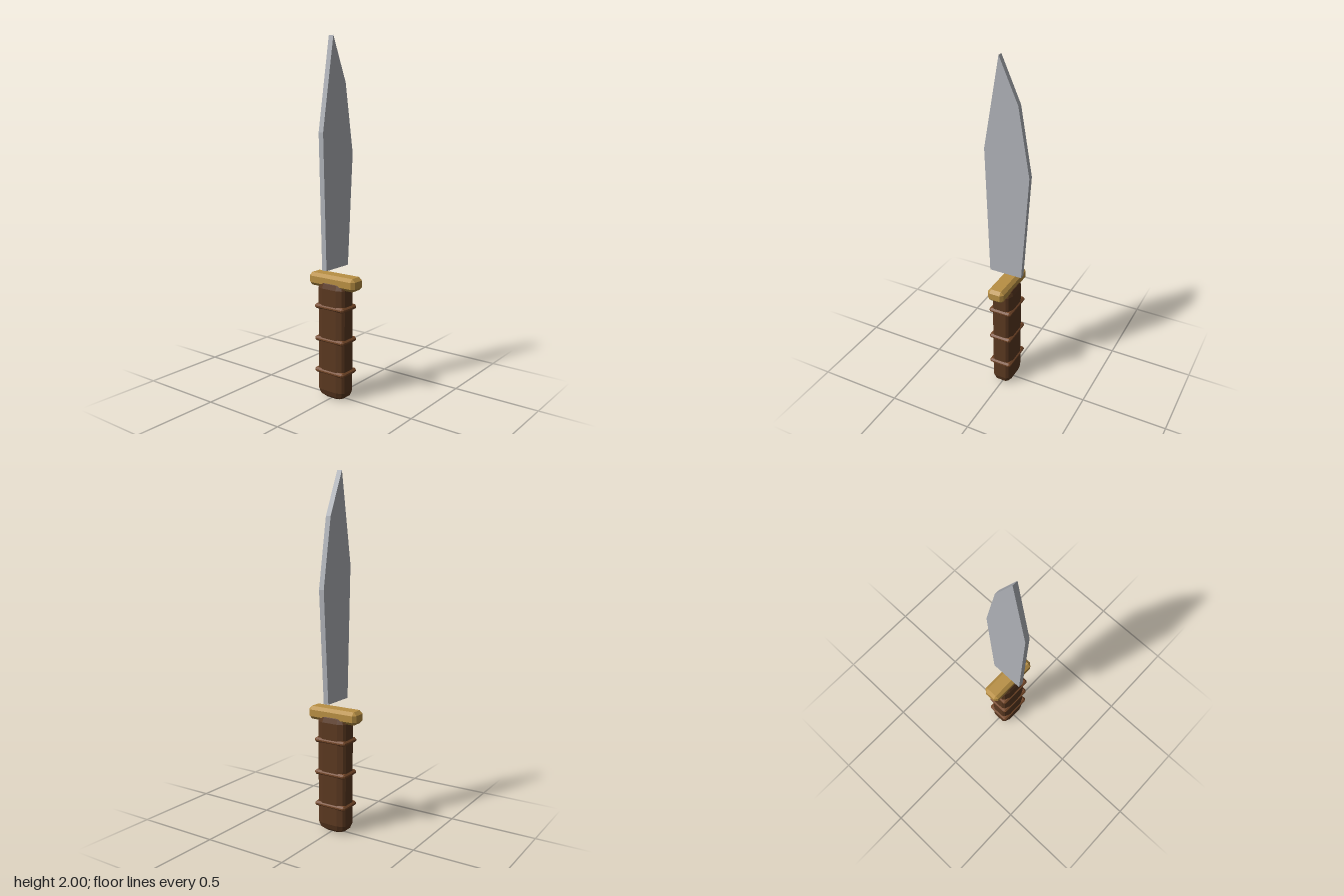
import * as THREE from 'three';

const flat = (name, color) => {
  const m = new THREE.MeshStandardMaterial({ color, flatShading: true });
  m.name = name;
  return m;
};

// One plan outline: rectangle whose corners are cut through the listed [inset x, inset z] points.
function plan(hx, hz, cuts) {
  const quarter = cuts.map(([ix, iz]) => [hx - ix, hz - iz]);
  const back = [...quarter].reverse();
  return [
    ...quarter,
    ...back.map(([x, z]) => [-x, z]),
    ...quarter.map(([x, z]) => [-x, -z]),
    ...back.map(([x, z]) => [x, -z]),
  ];
}

// Closed solid through stacked outlines: sections = [[y, outline], ...].
function loft(sections) {
  const n = sections[0][1].length, pos = [], index = [];
  sections.forEach(([y, pts]) => pts.forEach(([x, z]) => pos.push(x, y, z)));
  for (let s = 0; s < sections.length - 1; s++) {
    for (let i = 0; i < n; i++) {
      const a = s * n + i, b = s * n + (i + 1) % n;
      index.push(a, a + n, b, b, a + n, b + n);
    }
  }
  const top = (sections.length - 1) * n;
  for (let i = 1; i < n - 1; i++) {
    index.push(0, i, i + 1, top, top + i + 1, top + i);
  }
  const g = new THREE.BufferGeometry();
  g.setAttribute('position', new THREE.Float32BufferAttribute(pos, 3));
  g.setIndex(index);
  const out = g.toNonIndexed();
  out.computeVertexNormals();
  return out;
}

// Box with every edge chamfered by c.
function chamferBox(hx, hz, y0, y1, c) {
  const full = plan(hx, hz, [[0, c], [c, 0]]);
  const end = plan(hx - c, hz - c, [[0, c * 0.1], [c * 0.1, 0]]);
  return loft([[y0, end], [y0 + c, full], [y1 - c, full], [y1, end]]);
}

export function createModel() {
  const group = new THREE.Group();
  const steel = flat('steel', 0xb0b3b9);
  const brass = flat('brass', 0xb88f43);
  const leather = flat('leather', 0x5a3820);
  const binding = flat('binding', 0x744728);
  const add = (name, geometry, material, z = 0.005) => {
    const mesh = new THREE.Mesh(geometry, material);
    mesh.name = name;
    mesh.position.z = z;
    group.add(mesh);
  };

  // Blade: flat plate, outline drawn in z and y
  const outline = [[-0.09, 0.755], [0.105, 0.755], [0.131, 1.5], [0.043, 2], [-0.065, 1.76], [-0.131, 1.38]];
  const blade = new THREE.ExtrudeGeometry(
    new THREE.Shape(outline.map(([z, y]) => new THREE.Vector2(z, y))),
    { depth: 0.03, bevelEnabled: false });
  blade.translate(0, 0, -0.015).rotateY(-Math.PI / 2);
  add('blade', blade, steel, 0);

  // Cross guard
  add('guard', chamferBox(0.156, 0.05, 0.642, 0.716, 0.018), brass);

  // Grip with softened sides and ends
  const section = (hx, hz) => plan(hx, hz, [
    [0, hz * 0.42], [hx * 0.12, hz * 0.19], [hx * 0.47, 0]]);
  add('grip', loft([
    [0.004, section(0.055, 0.036)],
    [0.018, section(0.08, 0.051)],
    [0.05, section(0.091, 0.062)],
    [0.64, section(0.091, 0.062)],
    [0.667, section(0.081, 0.053)],
    [0.683, section(0.055, 0.036)],
  ]), leather);

  // Grip rings
  [0.16, 0.346, 0.534].forEach((y, i) =>
    add('gripRing' + (i + 1), chamferBox(0.1, 0.068, y - 0.014, y + 0.014, 0.01), binding));

  return group;
}
